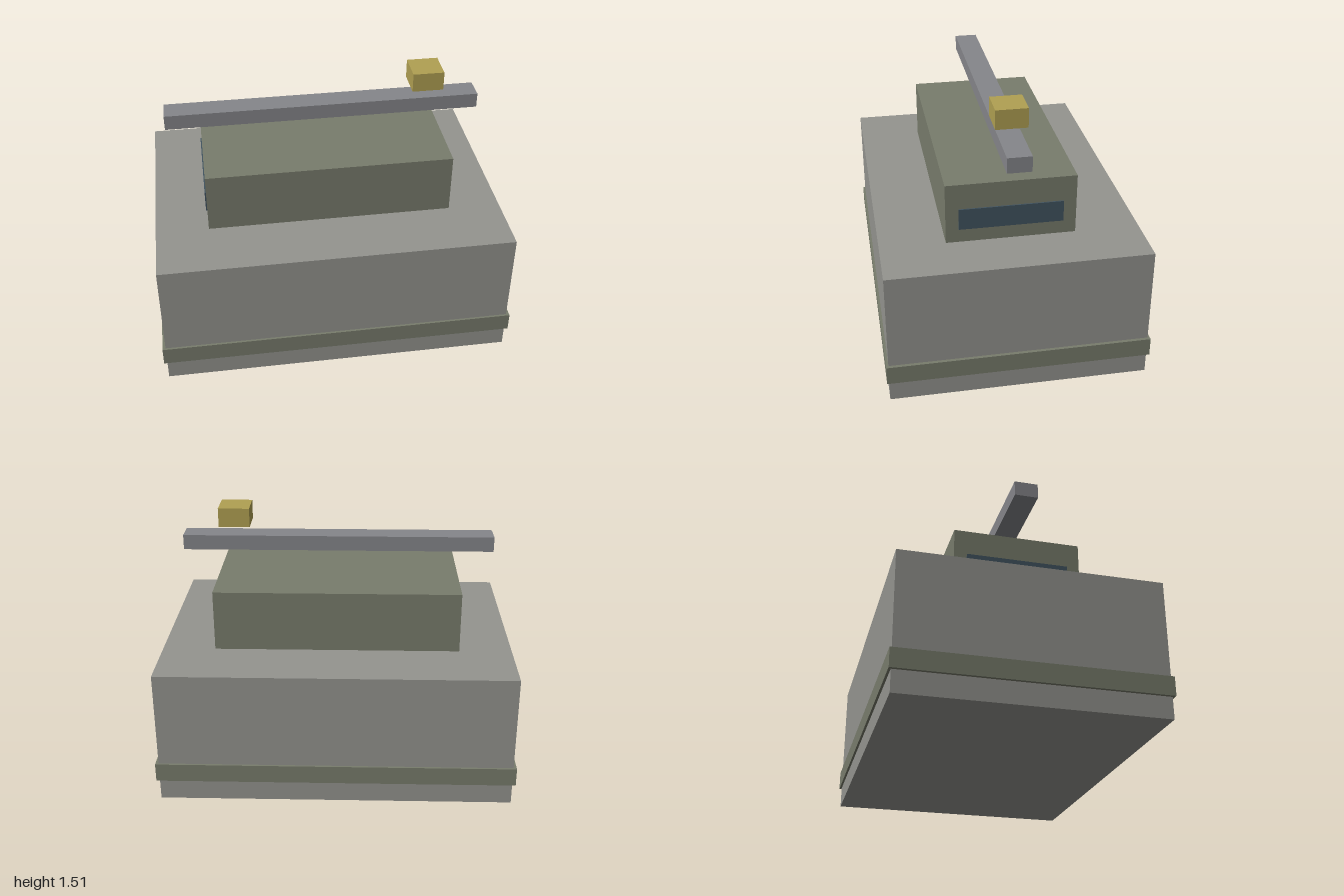
import * as THREE from 'three';

const material = (color) => new THREE.MeshStandardMaterial({ color });
const concrete = material(0x94948f);
const olive = material(0x787c6c);
const steel = material(0x85868a);
const glass = material(0x41535f);
const brass = material(0xb0a052);

export function createModel() {
  const model = new THREE.Group();
  model.name = 'model';

  // Box given by its centre x, bottom, top, width and depth
  const box = (name, mat, x, bottom, top, width, depth) => {
    const mesh = new THREE.Mesh(new THREE.BoxGeometry(width, top - bottom, depth), mat);
    mesh.name = name;
    mesh.position.set(x, (bottom + top) / 2, 0);
    model.add(mesh);
  };

  // Main block with a band around its foot
  box('body', concrete, 0, 0, 0.765, 1.965, 1.415);
  box('baseBand', olive, 0, 0.12, 0.225, 2, 1.44);

  // Upper housing with a window in each end
  box('upperHousing', olive, 0, 0.765, 1.107, 1.375, 0.705);
  for (const [name, side] of [['leftWindow', 1], ['rightWindow', -1]]) {
    box(name, glass, side * 0.685, 0.843, 0.963, 0.02, 0.565);
  }

  // Overhead rail and the small block floating above it
  box('rail', steel, 0, 1.256, 1.341, 1.765, 0.13);
  box('railBlock', brass, 0.586, 1.398, 1.506, 0.175, 0.173);

  return model;
}
